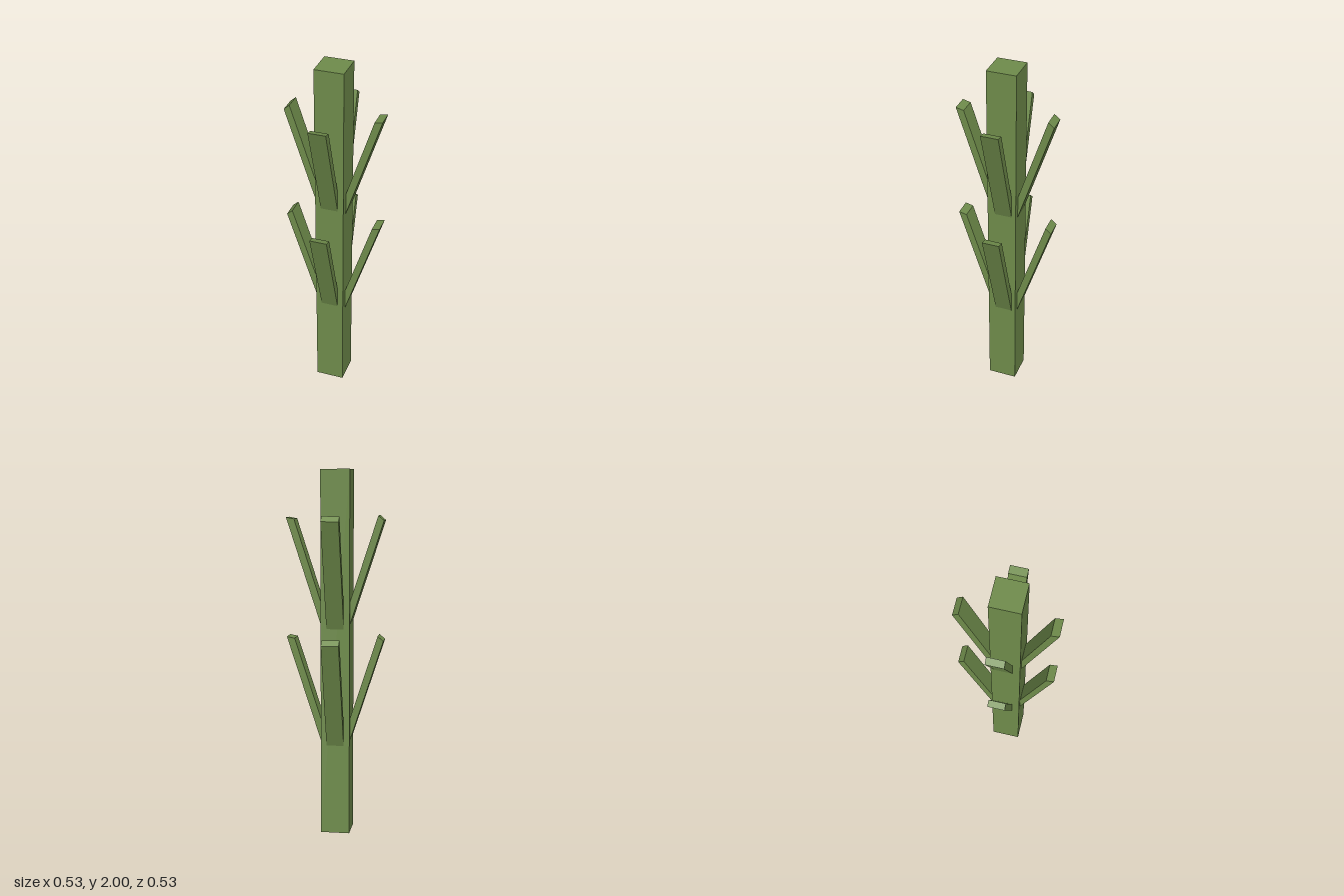
import * as THREE from 'three';

const SLOPE = 3.07; // rise of a branch per unit of outward run
const ROOT = 0.04; // radius, inside the trunk, where branches begin
const WIDTH = 0.095;

// Slanted slab leaning outwards along +x; tips are [radius, height]
function branchGeometry(inner, outer) {
  const rootY = ([r, y]) => y - SLOPE * (r - ROOT);
  const shape = new THREE.Shape([
    new THREE.Vector2(ROOT, rootY(outer)),
    new THREE.Vector2(...outer),
    new THREE.Vector2(...inner),
    new THREE.Vector2(ROOT, rootY(inner)),
  ]);
  const geometry = new THREE.ExtrudeGeometry(shape, { depth: WIDTH, bevelEnabled: false });
  return geometry.translate(0, 0, -WIDTH / 2);
}

export function createModel() {
  const model = new THREE.Group();
  model.name = 'branchedPost';
  const green = new THREE.MeshStandardMaterial({ color: 0x6f8c4b, flatShading: true });

  // Square trunk
  const trunk = new THREE.Mesh(new THREE.BoxGeometry(0.158, 2, 0.16), green);
  trunk.name = 'trunk';
  trunk.position.set(-0.006, 1, 0.003);
  model.add(trunk);

  // Four branches per tier, each with its own cut at the tip
  const branches = [
    { name: 'leftBranch', turn: 0, x: 0, z: -0.006, inner: [0.221, 1.737], outer: [0.264, 1.745] },
    { name: 'backBranch', turn: 1, x: -0.006, z: 0, inner: [0.235, 1.757], outer: [0.267, 1.73] },
    { name: 'rightBranch', turn: 2, x: 0, z: -0.006, inner: [0.235, 1.757], outer: [0.266, 1.73] },
    { name: 'frontBranch', turn: 3, x: -0.006, z: 0, inner: [0.221, 1.737], outer: [0.264, 1.747] },
  ];
  for (const [tierName, drop] of [['upperTier', 0], ['lowerTier', 0.647]]) {
    const tier = new THREE.Group();
    tier.name = tierName;
    tier.position.y = -drop;
    for (const b of branches) {
      const mesh = new THREE.Mesh(branchGeometry(b.inner, b.outer), green);
      mesh.name = b.name;
      mesh.rotation.y = (b.turn * Math.PI) / 2;
      mesh.position.set(b.x, 0, b.z);
      tier.add(mesh);
    }
    model.add(tier);
  }
  return model;
}
